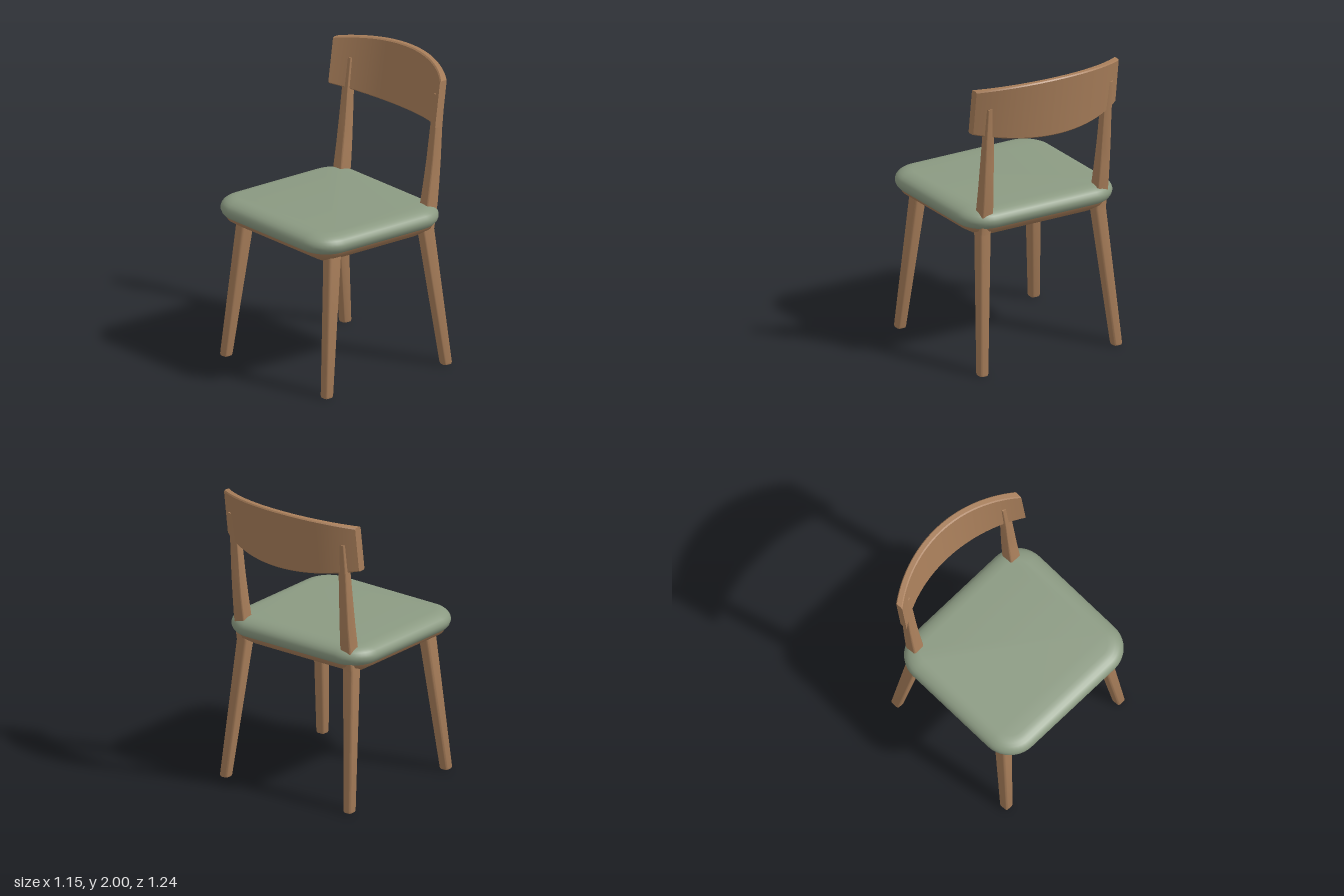
import * as THREE from 'three';
import { toCreasedNormals } from 'three/addons/utils/BufferGeometryUtils.js';

const wood = new THREE.MeshStandardMaterial({ color: 0xa87e5a });
wood.name = 'warm wood';
const fabric = new THREE.MeshStandardMaterial({ color: 0x8b9a82 });
fabric.name = 'sage fabric';

// Joins rings of points (bottom to top, each counter-clockwise seen along the loft) and caps both ends
function skin(rings, crease) {
  const n = rings[0].length;
  const pos = rings.flat(2);
  const idx = [];
  for (let i = 0; i < rings.length - 1; i++) {
    for (let j = 0; j < n; j++) {
      const k = (j + 1) % n, a = i * n, b = a + n;
      idx.push(a + j, b + j, b + k, a + j, b + k, a + k);
    }
  }
  const last = (rings.length - 1) * n;
  for (let j = 1; j < n - 1; j++) {
    idx.push(0, j, j + 1);
    idx.push(last, last + j + 1, last + j);
  }
  const geo = new THREE.BufferGeometry();
  geo.setAttribute('position', new THREE.Float32BufferAttribute(pos, 3));
  geo.setIndex(idx);
  return toCreasedNormals(geo, crease);
}

// Horizontal rounded rectangle
function roundedRing(cx, y, cz, hx, hz, r, steps) {
  const pts = [];
  const signs = [[1, 1], [-1, 1], [-1, -1], [1, -1]];
  signs.forEach(([sx, sz], q) => {
    for (let s = 0; s <= steps; s++) {
      const a = (q + s / steps) * Math.PI / 2;
      pts.push([cx + sx * (hx - r) + r * Math.cos(a), y, cz + sz * (hz - r) + r * Math.sin(a)]);
    }
  });
  return pts;
}

function add(group, name, geo, mat) {
  const mesh = new THREE.Mesh(geo, mat);
  mesh.name = name;
  group.add(mesh);
}

// Seat layers from [height, inset] pairs
const seatLayer = (profile) => skin(
  profile.map(([y, d]) => roundedRing(0, y, 0.08, 0.575 - d, 0.54 - d, 0.2 - d, 10)), 0.7);

// Legs from [height, x, z, half width, half depth, corner radius] sections
const leg = (sections, side) => skin(
  sections.map(([y, x, z, hx, hz, r]) => roundedRing(side * x, y, z, hx, hz, r, 4)), 0.6);

const frontLeg = [
  [0, 0.508, 0.522, 0.028, 0.03, 0.014],
  [0.012, 0.508, 0.521, 0.032, 0.034, 0.016],
  [0.95, 0.436, 0.417, 0.042, 0.05, 0.02],
];
const backLeg = [
  [0, 0.508, -0.468, 0.028, 0.03, 0.014],
  [0.012, 0.508, -0.467, 0.032, 0.034, 0.016],
  [0.93, 0.438, -0.358, 0.041, 0.047, 0.018],
  [1.1, 0.438, -0.385, 0.042, 0.045, 0.012],
  [1.25, 0.441, -0.404, 0.038, 0.041, 0.011],
  [1.4, 0.444, -0.42, 0.035, 0.036, 0.01],
  [1.6, 0.446, -0.438, 0.031, 0.03, 0.009],
  [1.83, 0.448, -0.465, 0.028, 0.026, 0.008],
];

// Curved, leaning back panel with bowed top and bottom edges
function backrest() {
  const rings = [], steps = 32, R = 0.9, bevel = 0.008;
  for (let i = 0; i <= steps; i++) {
    const x = -0.54 + 1.08 * i / steps;
    const t = (x / 0.54) ** 2;
    const top = 2 - 0.045 * t, bottom = 1.59 + 0.055 * t;
    const depth = Math.sqrt(R * R - x * x);
    const thick = 0.045 * R / depth;
    const front = (y) => -0.58 + (R - depth) + (2 - y) * 0.135;
    const p = (y, back, inset) => [x, y, front(y) - (back ? thick - inset : inset)];
    rings.push([
      p(bottom + bevel, false, 0), p(bottom, false, bevel),
      p(bottom, true, bevel), p(bottom + bevel, true, 0),
      p(top - bevel, true, 0), p(top, true, bevel),
      p(top, false, bevel), p(top - bevel, false, 0),
    ].reverse());
  }
  // The panel runs along x, so check the winding by its signed volume
  const geo = skin(rings, 0.6);
  const v = geo.attributes.position;
  const a = new THREE.Vector3(), b = new THREE.Vector3(), c = new THREE.Vector3();
  let volume = 0;
  for (let i = 0; i < v.count; i += 3) {
    a.fromBufferAttribute(v, i);
    b.fromBufferAttribute(v, i + 1);
    c.fromBufferAttribute(v, i + 2);
    volume += a.dot(b.cross(c));
  }
  return volume > 0 ? geo : skin(rings.map((r) => r.slice().reverse()), 0.6);
}

export function createModel() {
  const chair = new THREE.Group();
  chair.name = 'chair';

  add(chair, 'seatBase', seatLayer([[0.89, 0.155], [0.9, 0.135], [0.955, 0.045], [0.985, 0.03]]), wood);
  add(chair, 'seatCushion', seatLayer([
    [0.97, 0.06], [0.974, 0.04], [0.985, 0.022], [1.0, 0.009], [1.02, 0.001], [1.035, 0],
    [1.052, 0.005], [1.068, 0.016], [1.081, 0.033], [1.091, 0.055], [1.097, 0.078], [1.1, 0.105],
  ]), fabric);

  for (const [side, label] of [[1, 'left'], [-1, 'right']]) {
    add(chair, `${label}FrontLeg`, leg(frontLeg, side), wood);
    add(chair, `${label}BackLegAndPost`, leg(backLeg, side), wood);
  }
  add(chair, 'backrest', backrest(), wood);
  return chair;
}
